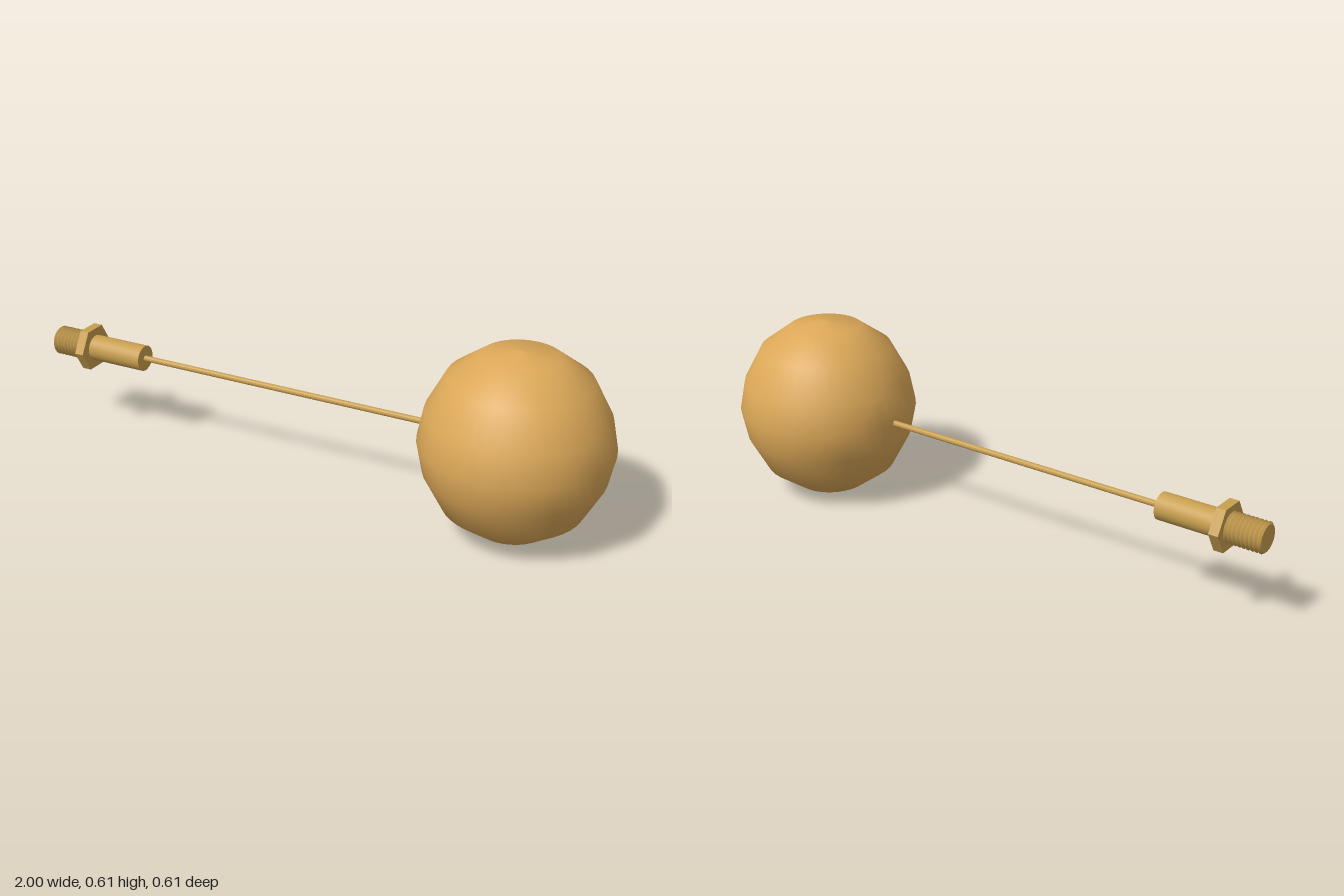
import * as THREE from 'three';
import { toCreasedNormals } from 'three/addons/utils/BufferGeometryUtils.js';

const AXIS_Y = 0.303;

export function createModel() {
  const model = new THREE.Group();
  model.name = 'floatValve';
  const ballBrass = new THREE.MeshStandardMaterial({ color: 0xdca858 });
  ballBrass.name = 'warm brass';
  const fittingBrass = new THREE.MeshStandardMaterial({ color: 0xc89f50 });
  fittingBrass.name = 'dull brass';

  const add = (name, geometry, material, x) => {
    const mesh = new THREE.Mesh(geometry, material);
    mesh.name = name;
    mesh.position.set(x, AXIS_Y, 0);
    model.add(mesh);
  };
  // Cylinder lying along x between two ends
  const bar = (name, x0, x1, radius, sides) => {
    const g = new THREE.CylinderGeometry(radius, radius, x1 - x0, sides);
    g.rotateZ(-Math.PI / 2);
    add(name, toCreasedNormals(g, 0.7), fittingBrass, (x0 + x1) / 2);
  };

  // Hollow float: few rings, many segments around the vertical axis
  const half = [[0.121, 0.287], [0.222, 0.214], [0.283, 0.1]];
  const profile = [
    [0, -0.303],
    ...half.map(([r, y]) => [r, -y]),
    [0.303, 0],
    ...[...half].reverse(),
    [0, 0.303],
  ].map(([r, y]) => new THREE.Vector2(r, y));
  add('floatBall', new THREE.LatheGeometry(profile, 40), ballBrass, 0.695);

  // Arm, sleeve and hex nut (nut corners point to front and back)
  bar('rod', -0.66, 0.41, 0.01, 12);
  bar('sleeve', -0.87, -0.647, 0.044, 24);
  bar('hexNut', -0.882, -0.85, 0.08, 6);

  // Threaded end: saw-tooth ridges turned around x
  const ridges = 9, start = -1, end = -0.875;
  const pitch = (end - start) / ridges;
  const thread = [new THREE.Vector2(0, 0)];
  for (let i = 0; i < ridges; i++) {
    thread.push(new THREE.Vector2(0.043, i * pitch));
    thread.push(new THREE.Vector2(0.05, (i + 0.5) * pitch));
  }
  thread.push(new THREE.Vector2(0.043, end - start), new THREE.Vector2(0, end - start));
  const threadGeometry = new THREE.LatheGeometry(thread, 16);
  threadGeometry.rotateZ(-Math.PI / 2);
  add('threadedEnd', toCreasedNormals(threadGeometry, 0.5), fittingBrass, start);

  return model;
}
